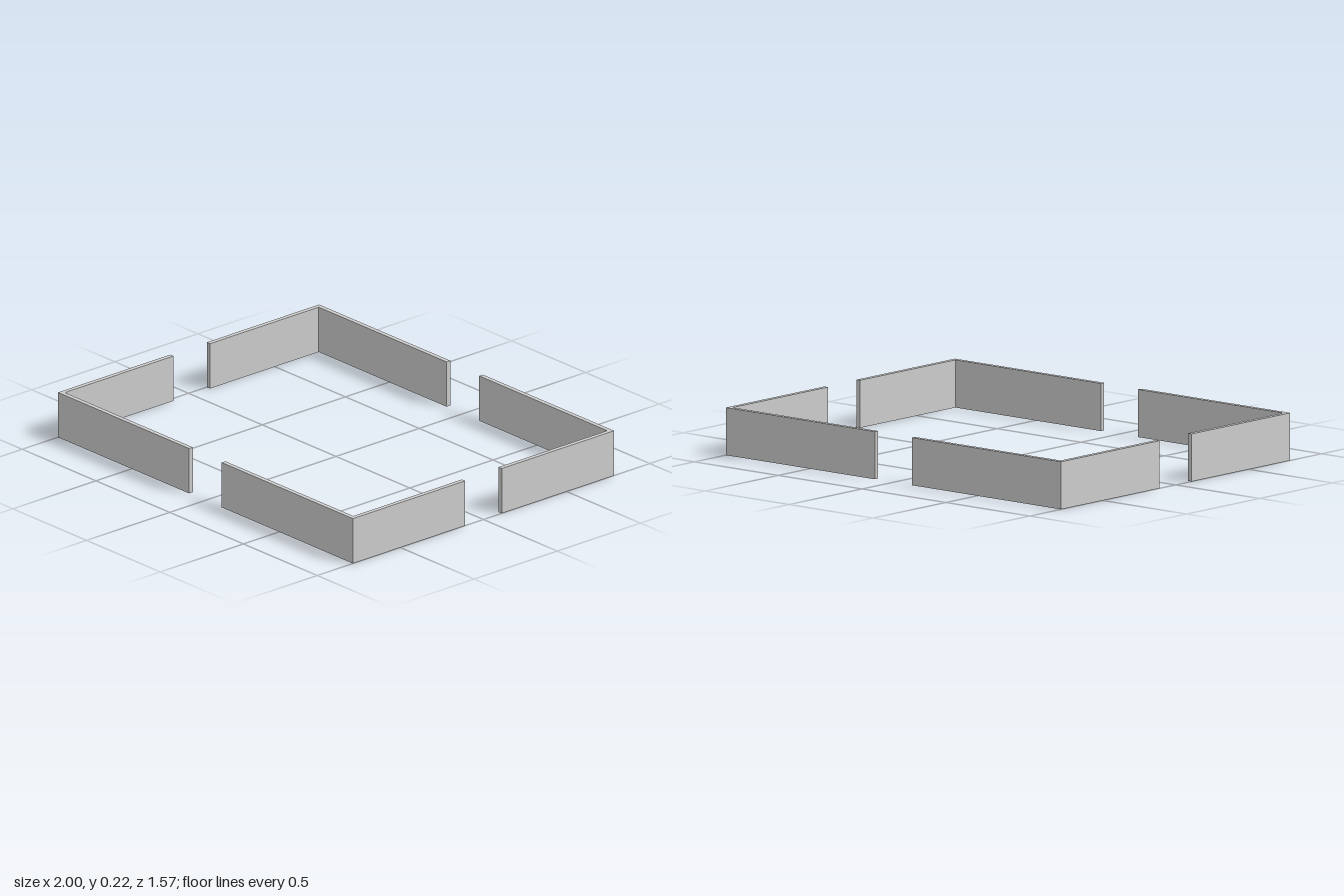
import * as THREE from 'three';

const HALF_X = 1, HALF_Z = 0.785, HEIGHT = 0.218, THICK = 0.022, HALF_GAP = 0.11;

// L-shaped corner wall, extruded upward from its plan outline
function cornerWall(sx, sz, material) {
  const plan = [
    [HALF_GAP, HALF_Z], [HALF_X, HALF_Z], [HALF_X, HALF_GAP],
    [HALF_X - THICK, HALF_GAP], [HALF_X - THICK, HALF_Z - THICK], [HALF_GAP, HALF_Z - THICK],
  ].map(([x, z]) => new THREE.Vector2(sx * x, -sz * z));
  const geometry = new THREE.ExtrudeGeometry(new THREE.Shape(plan), { depth: HEIGHT, bevelEnabled: false });
  geometry.rotateX(-Math.PI / 2);
  const wall = new THREE.Mesh(geometry, material);
  wall.name = (sz > 0 ? 'front' : 'back') + (sx > 0 ? 'Left' : 'Right') + 'CornerWall';
  return wall;
}

export function createModel() {
  const model = new THREE.Group();
  model.name = 'cornerWalls';
  const material = new THREE.MeshStandardMaterial({ color: 0xcccccc });
  // Four corners with an opening in the middle of each side
  for (const sx of [-1, 1]) {
    for (const sz of [-1, 1]) model.add(cornerWall(sx, sz, material));
  }
  return model;
}
